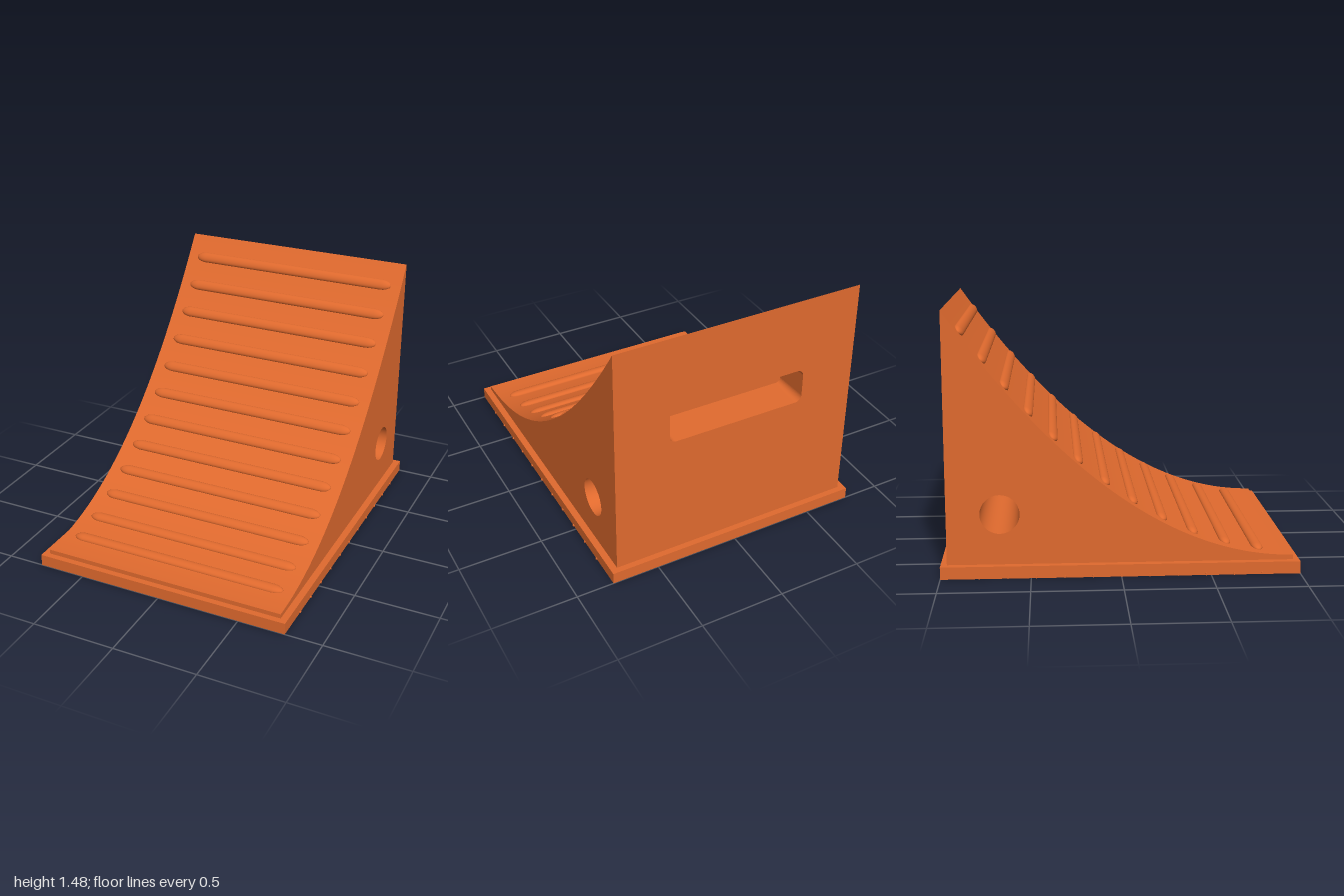
import * as THREE from 'three';

const HALF_W = 0.74, HALF_D = 0.965, BASE_Y = 0.07;
const HOLE = { z: -0.67, y: 0.355, r: 0.11 };
const RUN = 2 * HALF_D, RISE = 1.38, LIP = 0.097;

// Parabolic ramp: low lip at the front, tall edge at the back
const rampY = z => LIP + RISE * ((HALF_D - z) / RUN) ** 2;
const rampSlope = z => 2 * RISE * (HALF_D - z) / RUN ** 2;

// Rounded rectangle centred on (0, cy)
function roundedRect(PathType, w, h, r, cy) {
  const p = new PathType();
  const x = w / 2, y = h / 2;
  p.absarc(x - r, cy + y - r, r, 0, Math.PI / 2);
  p.absarc(-x + r, cy + y - r, r, Math.PI / 2, Math.PI);
  p.absarc(-x + r, cy - y + r, r, Math.PI, Math.PI * 1.5);
  p.absarc(x - r, cy - y + r, r, Math.PI * 1.5, Math.PI * 2);
  p.closePath();
  return p;
}

// Wall strip joining two outlines with equal point counts
function wallBetween(a, za, b, zb) {
  const pos = [];
  for (let i = 0; i < a.length; i++) {
    const j = (i + 1) % a.length;
    pos.push(a[i].x, a[i].y, za, b[i].x, b[i].y, zb, b[j].x, b[j].y, zb);
    pos.push(a[i].x, a[i].y, za, b[j].x, b[j].y, zb, a[j].x, a[j].y, za);
  }
  const g = new THREE.BufferGeometry();
  g.setAttribute('position', new THREE.Float32BufferAttribute(pos, 3));
  g.computeVertexNormals();
  return g;
}

export function createModel() {
  const model = new THREE.Group();
  model.name = 'wheelChock';
  const orange = new THREE.MeshStandardMaterial({ color: 0xe06a2e, side: THREE.DoubleSide });
  orange.name = 'safety orange';

  const add = (name, geometry, parent = model) => {
    const m = new THREE.Mesh(geometry, orange);
    m.name = name;
    parent.add(m);
    return m;
  };

  // Base plate
  add('basePlate', new THREE.BoxGeometry(1.56, BASE_Y, 2).translate(0, BASE_Y / 2, 0));

  // Curved ramp surface
  const ramp = new THREE.PlaneGeometry(HALF_W * 2, RUN, 1, 40).rotateX(-Math.PI / 2);
  const rp = ramp.attributes.position, rn = ramp.attributes.normal;
  for (let i = 0; i < rp.count; i++) {
    const z = rp.getZ(i), n = new THREE.Vector3(0, 1, rampSlope(z)).normalize();
    rp.setY(i, rampY(z));
    rn.setXYZ(i, n.x, n.y, n.z);
  }
  add('rampSurface', ramp);

  // Small upright lip at the toe of the ramp
  const lipH = LIP - BASE_Y;
  add('frontLip', new THREE.PlaneGeometry(HALF_W * 2, lipH).translate(0, BASE_Y + lipH / 2, HALF_D));

  // Side walls with a round opening, each with its half of the tapered bore
  const side = new THREE.Shape();
  side.moveTo(-HALF_D, BASE_Y);
  side.lineTo(HALF_D, BASE_Y);
  for (let i = 0; i <= 40; i++) {
    const z = HALF_D - RUN * i / 40;
    side.lineTo(z, rampY(z));
  }
  side.closePath();
  const opening = new THREE.Path();
  opening.absarc(HOLE.z, HOLE.y, HOLE.r, 0, Math.PI * 2, true);
  side.holes.push(opening);
  for (const s of [1, -1]) {
    const half = new THREE.Group();
    half.name = s > 0 ? 'rightSide' : 'leftSide';
    half.scale.x = s;
    model.add(half);
    add('sideWall', new THREE.ShapeGeometry(side, 24).rotateY(-Math.PI / 2).translate(-HALF_W, 0, 0), half);
    add('ropeHole', new THREE.CylinderGeometry(HOLE.r, 0.1, HALF_W, 48, 1, true)
      .rotateZ(Math.PI / 2).translate(-HALF_W / 2, HOLE.y, HOLE.z), half);
  }

  // Back wall with a recessed hand slot
  const top = rampY(-HALF_D), slotY = 0.925;
  const back = new THREE.Shape();
  back.moveTo(-HALF_W, BASE_Y);
  back.lineTo(HALF_W, BASE_Y);
  back.lineTo(HALF_W, top);
  back.lineTo(-HALF_W, top);
  back.closePath();
  back.holes.push(roundedRect(THREE.Path, 0.83, 0.21, 0.04, slotY));
  add('backWall', new THREE.ShapeGeometry(back, 8).rotateY(Math.PI).translate(0, 0, -HALF_D));

  const outer = roundedRect(THREE.Shape, 0.83, 0.21, 0.04, slotY);
  const inner = roundedRect(THREE.Shape, 0.81, 0.19, 0.03, slotY);
  const floorZ = -HALF_D + 0.2;
  add('handSlotWall', wallBetween(outer.getPoints(8), -HALF_D, inner.getPoints(8), floorZ));
  add('handSlotFloor', new THREE.ShapeGeometry(inner, 8).rotateY(Math.PI).translate(0, 0, floorZ));

  // Grip ribs: long rounded bars with tapered ends, lying on the ramp
  const rib = new THREE.SphereGeometry(1, 20, 13).rotateZ(Math.PI / 2).scale(0.07, 0.022, 0.034);
  const bp = rib.attributes.position;
  for (let i = 0; i < bp.count; i++) bp.setX(i, bp.getX(i) + Math.sign(bp.getX(i)) * 0.605);
  const ribZ = [0.78, 0.595, 0.41, 0.235, 0.07, -0.085, -0.235, -0.375, -0.51, -0.64, -0.76, -0.877];
  for (const z of ribZ) {
    const m = add('gripRib', rib);
    m.position.set(0, rampY(z), z);
    m.rotation.x = Math.atan(rampSlope(z));
  }

  // Thin tread bars set into the underside, tips just showing at the sides
  const bar = new THREE.CylinderGeometry(0.007, 0.007, 1.572, 10).rotateZ(Math.PI / 2);
  for (let i = -5; i <= 5; i++) add('treadBar', bar).position.set(0, 0.007, i * 0.157);

  return model;
}
